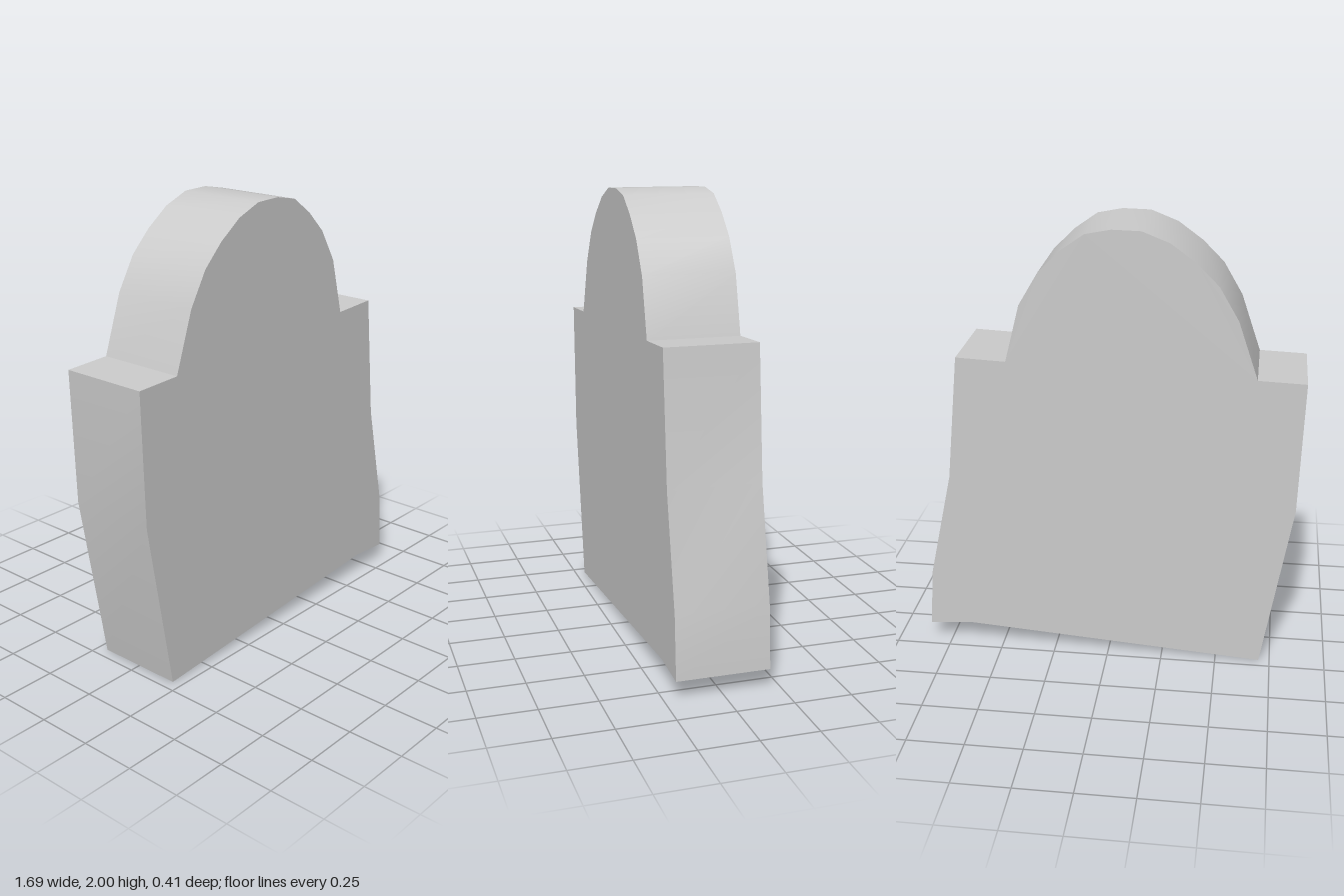
import * as THREE from 'three';
import { toCreasedNormals } from 'three/addons/utils/BufferGeometryUtils.js';

const DEPTH = 0.408;

// Crooked slab outline, counter-clockwise from the lower left corner
const base = [[-0.7, 0], [0.65, 0.1], [0.845, 0.085], [0.825, 0.36], [0.72, 0.85], [0.665, 1.42]];
const arch = [
  [0.445, 1.41], [0.38, 1.665], [0.295, 1.81], [0.2, 1.905], [0.097, 1.978], [-0.015, 2],
  [-0.14, 1.997], [-0.26, 1.95], [-0.37, 1.87], [-0.465, 1.775], [-0.55, 1.63], [-0.638, 1.373],
];
const side = [[-0.848, 1.365], [-0.83, 0.77]];

export function createModel() {
  const group = new THREE.Group();
  group.name = 'gravestone';

  // One solid slab with square shoulders and a rounded head
  const outline = new THREE.Shape([...base, ...arch, ...side].map(([x, y]) => new THREE.Vector2(x, y)));
  const solid = new THREE.ExtrudeGeometry(outline, { depth: DEPTH, bevelEnabled: false });
  solid.translate(0, 0, -DEPTH / 2);

  // Smooth round the head, sharp at the shoulders and face edges
  const slab = new THREE.Mesh(
    toCreasedNormals(solid, 0.6),
    new THREE.MeshStandardMaterial({ color: 0xcccccc }),
  );
  slab.name = 'slab';
  group.add(slab);
  return group;
}
